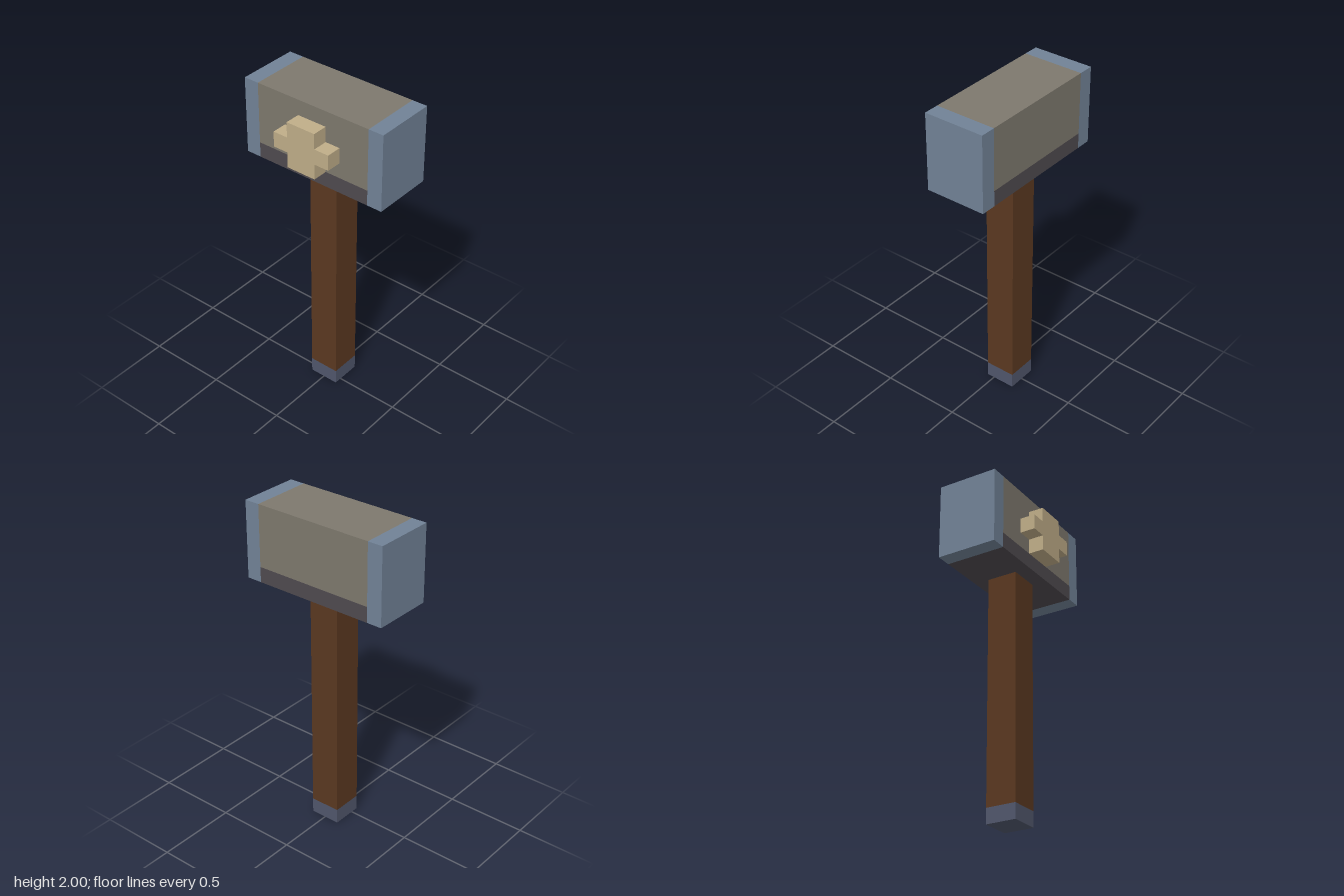
import * as THREE from 'three';

// One block of the design grid: 21 blocks make the full height
const U = 2 / 21;

const material = (name, color) => {
  const m = new THREE.MeshStandardMaterial({ color });
  m.name = name;
  return m;
};

export function createModel() {
  const model = new THREE.Group();
  model.name = 'hammer';

  const steel = material('blue steel', 0x718296);
  const stone = material('grey stone', 0x7d786d);
  const darkStone = material('dark stone', 0x4f4a4f);
  const wood = material('brown wood', 0x5a3820);
  const iron = material('dark iron', 0x50566b);
  const gold = material('pale gold', 0xbfad88);

  // Box between two corners, given in blocks
  const block = (name, mat, [x0, y0, z0], [x1, y1, z1]) => {
    const mesh = new THREE.Mesh(
      new THREE.BoxGeometry((x1 - x0) * U, (y1 - y0) * U, (z1 - z0) * U), mat);
    mesh.position.set((x0 + x1) / 2 * U, (y0 + y1) / 2 * U, (z0 + z1) / 2 * U);
    mesh.name = name;
    model.add(mesh);
  };

  // Handle with its metal pommel
  block('pommel', iron, [-1, 0, -1.5], [1, 1, 0.5]);
  block('handle', wood, [-1, 1, -1.5], [1, 16, 0.5]);

  // Head: dark lower band, stone body and a steel cap at each end
  block('headLowerBand', darkStone, [-4, 16, -2.5], [4, 17, 1.5]);
  block('headBody', stone, [-4, 17, -2.5], [4, 21, 1.5]);
  block('leftCap', steel, [4, 16, -2.5], [5, 21, 1.5]);
  block('rightCap', steel, [-5, 16, -2.5], [-4, 21, 1.5]);

  // Raised cross on the front of the head
  const outline = [
    [-1, 17], [1, 17], [1, 18], [2, 18], [2, 19], [1, 19],
    [1, 20], [-1, 20], [-1, 19], [-2, 19], [-2, 18], [-1, 18],
  ].map(([x, y]) => new THREE.Vector2(x * U, y * U));
  const cross = new THREE.Mesh(
    new THREE.ExtrudeGeometry(new THREE.Shape(outline), { depth: U, bevelEnabled: false }), gold);
  cross.position.z = 1.5 * U;
  cross.name = 'frontCross';
  model.add(cross);

  return model;
}
